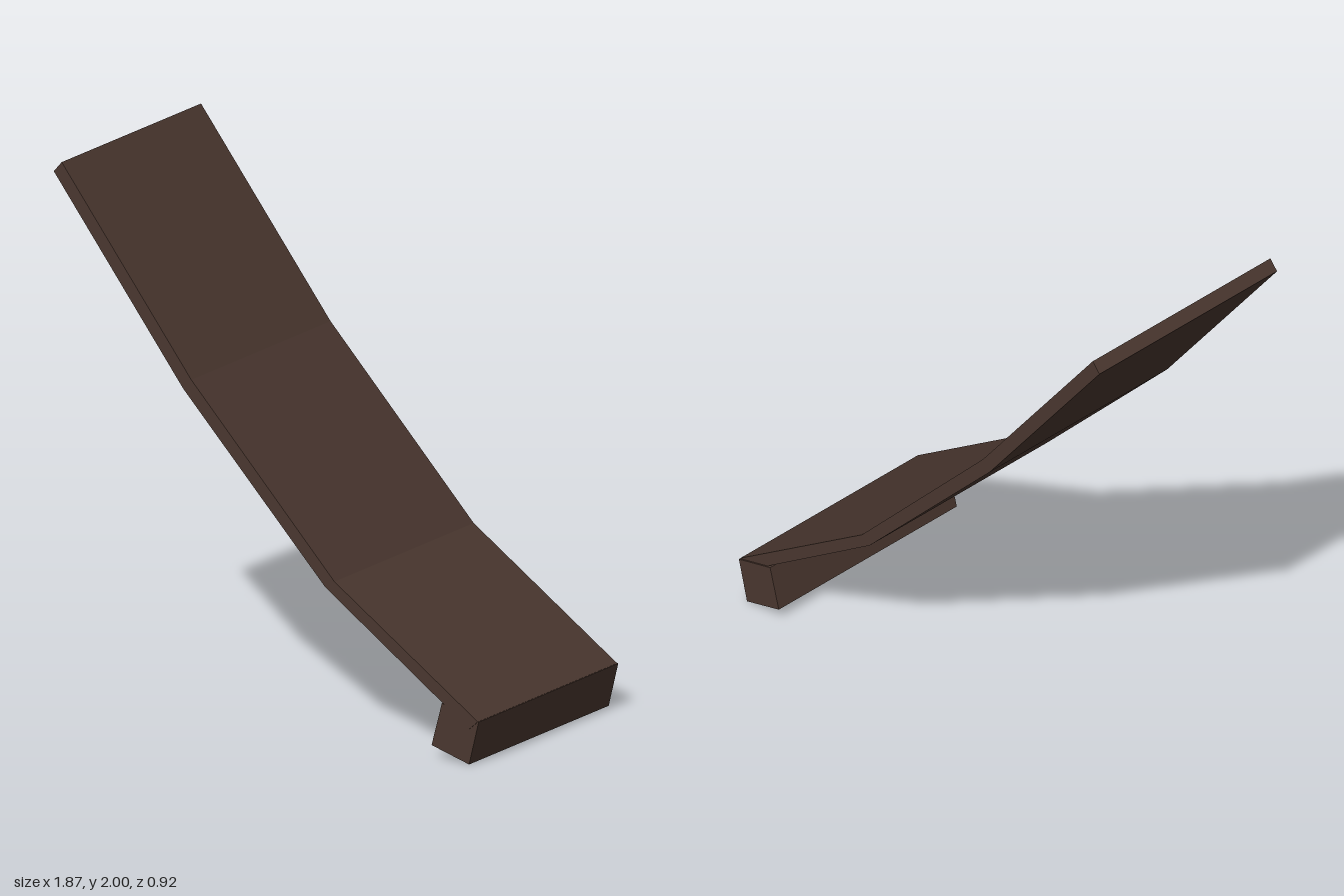
import * as THREE from 'three';

// Extrude an x/y outline between two z positions
function slab(name, points, zMin, zMax, material) {
  const shape = new THREE.Shape(points.map(([x, y]) => new THREE.Vector2(x, y)));
  const geometry = new THREE.ExtrudeGeometry(shape, { depth: zMax - zMin, bevelEnabled: false });
  geometry.translate(0, 0, zMin);
  const mesh = new THREE.Mesh(geometry, material);
  mesh.name = name;
  return mesh;
}

export function createModel() {
  const group = new THREE.Group();
  group.name = 'bentPanel';
  const brown = new THREE.MeshStandardMaterial({ color: 0x4a372f });
  brown.name = 'darkBrown';

  // Thin board in three angled segments: upper face down, under face back up
  group.add(slab('board', [
    [-0.935, 1.96], [-0.365, 1.225], [0.26, 0.572], [0.893, 0.136],
    [0.931, 0.17], [0.30, 0.60], [-0.33, 1.265], [-0.90, 2.0],
  ], -0.453, 0.459, brown));

  // Tilted square beam under the low end
  group.add(slab('footBeam', [
    [0.725, 0.047], [0.89, 0], [0.932, 0.168], [0.77, 0.213],
  ], -0.459, 0.455, brown));

  return group;
}
